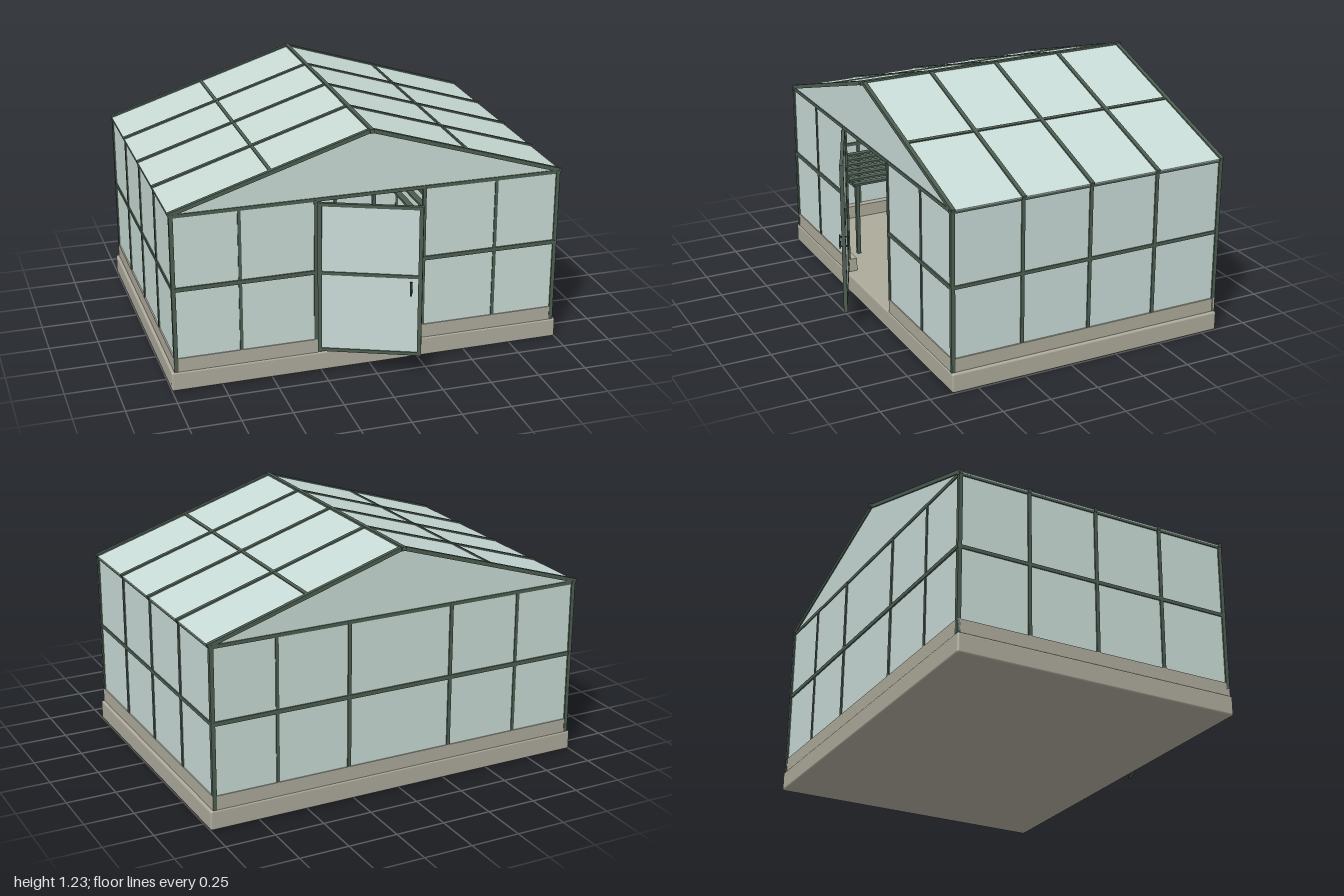
import * as THREE from 'three';
import { RoundedBoxGeometry } from 'three/addons/geometries/RoundedBoxGeometry.js';

const mat = (name, color, extra = {}) => new THREE.MeshStandardMaterial({ name, color, ...extra });

export function createModel() {
  const frameMat = mat('green frame', 0x4c5d51);
  const glassMat = mat('pale glass', 0xc9dbd6, { side: THREE.DoubleSide });
  const stoneMat = mat('concrete', 0xadaa9b);
  const darkMat = mat('dark handle', 0x2f3531);
  const potMat = mat('grey pot', 0x8f8b82, { side: THREE.DoubleSide });

  const model = new THREE.Group();
  model.name = 'greenhouse';
  const group = (name) => {
    const g = new THREE.Group();
    g.name = name;
    model.add(g);
    return g;
  };
  const add = (parent, name, geometry, material, x = 0, y = 0, z = 0) => {
    const m = new THREE.Mesh(geometry, material);
    m.name = name;
    m.position.set(x, y, z);
    parent.add(m);
    return m;
  };
  // Box given by its two opposite corners
  const block = (parent, name, material, [x0, y0, z0], [x1, y1, z1]) =>
    add(parent, name, new THREE.BoxGeometry(x1 - x0, y1 - y0, z1 - z0), material,
      (x0 + x1) / 2, (y0 + y1) / 2, (z0 + z1) / 2);
  // Square bar running between two points (parent must not be turned yet)
  const bar = (parent, name, a, b, w = 0.018, h = w, material = frameMat) => {
    const p = new THREE.Vector3(...a), q = new THREE.Vector3(...b);
    const m = add(parent, name, new THREE.BoxGeometry(w, h, p.distanceTo(q)), material);
    m.position.copy(p).add(q).multiplyScalar(0.5);
    m.lookAt(q);
    return m;
  };

  const X = 0.975, ZF = 0.62, ZB = -0.82, ZC = -0.1;
  const CURB = 0.17, MID = 0.53, EAVE = 0.905, RIDGE = 1.222, GAP = 0.275;
  const bays = [0, 1, 2, 3, 4].map((i) => ZB + (i * (ZF - ZB)) / 4);

  // Slab and low curb, open at the doorway
  add(model, 'slab', new RoundedBoxGeometry(2, 0.1, 1.466, 2, 0.01), stoneMat, 0, 0.05, ZC);
  const curb = group('curb');
  block(curb, 'backCurb', stoneMat, [-0.985, 0.095, -0.828], [0.985, CURB, -0.775]);
  for (const s of [-1, 1]) {
    const side = [s * 0.932, s * 0.985].sort((a, b) => a - b);
    block(curb, 'sideCurb', stoneMat, [side[0], 0.095, -0.775], [side[1], CURB, 0.575]);
    const front = [s * 0.265, s * 0.985].sort((a, b) => a - b);
    block(curb, 'frontCurb', stoneMat, [front[0], 0.095, 0.575], [front[1], CURB, 0.628]);
  }

  // Wall glass
  const glazing = group('wallGlass');
  const T = 0.003;
  block(glazing, 'backGlass', glassMat, [-X, CURB, ZB - T], [X, EAVE, ZB + T]);
  block(glazing, 'frontGlass', glassMat, [-X, CURB, ZF - T], [-GAP, EAVE, ZF + T]);
  block(glazing, 'frontGlass', glassMat, [GAP, CURB, ZF - T], [X, EAVE, ZF + T]);
  for (const s of [-1, 1])
    block(glazing, 'sideGlass', glassMat, [s * X - T, CURB, ZB], [s * X + T, EAVE, ZF]);

  // Triangular gables
  const gable = new THREE.Shape([[-X, EAVE], [X, EAVE], [0, RIDGE]].map((p) => new THREE.Vector2(...p)));
  for (const z of [ZB, ZF])
    add(glazing, 'gableGlass', new THREE.ExtrudeGeometry(gable, { depth: 2 * T, bevelEnabled: false }),
      glassMat, 0, 0, z - T);

  // Wall posts and rails
  const walls = group('wallFrame');
  for (const z of [ZB, ZF]) {
    for (const s of [-1, 1]) {
      bar(walls, 'cornerPost', [s * X, 0.1, z], [s * X, EAVE, z], 0.02);
      bar(walls, 'endPost', [s * 0.65, CURB, z], [s * 0.65, EAVE, z], 0.016);
      bar(walls, 'doorwayPost', [s * GAP, CURB, z], [s * GAP, EAVE, z], 0.018);
      bar(walls, 'endRail', [s * X, MID, z], [s * (z > 0 ? GAP : 0), MID, z], 0.021);
    }
    bar(walls, 'endBeam', [-0.985, EAVE, z], [0.985, EAVE, z], 0.016, 0.018);
  }
  for (const s of [-1, 1]) {
    for (const z of bays.slice(1, 4))
      bar(walls, 'sidePost', [s * X, CURB, z], [s * X, EAVE, z]);
    bar(walls, 'sideRail', [s * X, MID, ZB - 0.012], [s * X, MID, ZF + 0.012]);
    bar(walls, 'eaveBeam', [s * X, EAVE, ZB - 0.012], [s * X, EAVE, ZF + 0.012]);
  }

  // Roof slopes with rafters and purlins
  const roof = group('roof');
  for (const s of [-1, 1]) {
    bar(roof, 'roofGlass', [s * 0.985, 0.911, ZC], [0, RIDGE + 0.002, ZC], ZF - ZB, 0.006, glassMat);
    for (const z of bays)
      bar(roof, 'rafter', [s * 0.99, 0.911, z], [0, RIDGE + 0.002, z], 0.02);
    const purlin = bar(roof, 'purlin', [s * 0.49, 1.07, ZB - 0.01], [s * 0.49, 1.07, ZF + 0.01], 0.016);
    purlin.rotateZ(-s * 0.305);
  }
  bar(roof, 'ridge', [0, RIDGE + 0.002, -0.84], [0, RIDGE + 0.002, 0.643], 0.02);

  // Door: framed pane with a handle on each face
  const door = group('door');
  const W = 0.495, D0 = 0.12, D1 = 0.885;
  block(door, 'doorGlass', glassMat, [0, D0, -T], [W, D1, T]);
  for (const x of [0.005, W - 0.006]) bar(door, 'doorStile', [x, D0 - 0.01, 0], [x, D1 + 0.009, 0], 0.02);
  for (const y of [D0, MID, D1]) bar(door, 'doorRail', [0, y, 0], [W, y, 0], 0.017);
  for (const s of [-1, 1]) {
    bar(door, 'doorHandle', [0.446, 0.437, s * 0.02], [0.446, 0.508, s * 0.02], 0.011, 0.008, darkMat);
    for (const y of [0.448, 0.498])
      bar(door, 'handleStub', [0.446, y, 0], [0.446, y, s * 0.02], 0.007, 0.007, darkMat);
  }
  // Stand it ajar on its hinge side
  door.position.set(-0.262, 0, 0.632);
  door.rotation.y = -0.41;

  // Slatted benches along both sides
  for (const s of [-1, 1]) {
    const bench = group('bench');
    for (let i = 0; i < 7; i++) {
      const x = s * (0.47 + i * 0.07);
      bar(bench, 'benchSlat', [x, 0.5, -0.72], [x, 0.5, 0.5], 0.035, 0.012);
    }
    for (const z of [-0.7, -0.1, 0.48]) {
      bar(bench, 'benchBearer', [s * 0.46, 0.485, z], [s * 0.9, 0.485, z], 0.02);
      for (const x of [0.47, 0.89]) bar(bench, 'benchLeg', [s * x, 0.1, z], [s * x, 0.49, z], 0.02);
    }
  }

  // Large pot on the floor
  const profile = [[0, 0], [0.09, 0], [0.1, 0.012], [0.125, 0.22], [0.135, 0.22], [0.135, 0.25], [0.115, 0.25], [0.1, 0.05], [0, 0.05]];
  add(model, 'pot', new THREE.LatheGeometry(profile.map((p) => new THREE.Vector2(...p)), 24),
    potMat, -0.52, 0.1, -0.55);

  return model;
}
